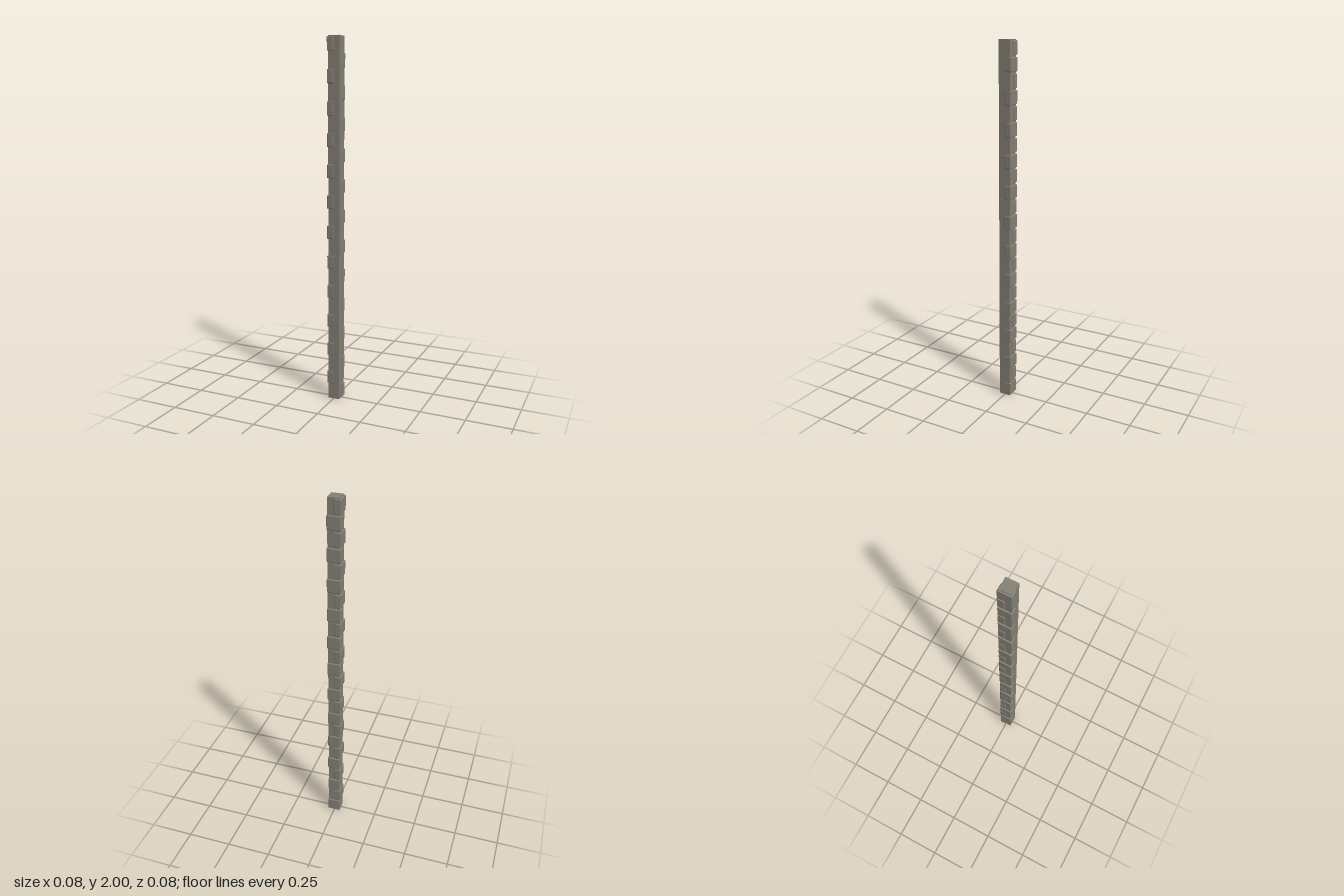
import * as THREE from 'three';
import { RoundedBoxGeometry } from 'three/addons/geometries/RoundedBoxGeometry.js';

export function createModel() {
  const group = new THREE.Group();
  const stone = new THREE.MeshStandardMaterial({ color: 0x858175, flatShading: true });

  // Adds a box given by its minimum and maximum corners, chamfered if asked
  function addBlock(name, min, max, chamfer = 0) {
    const size = max.map((v, i) => v - min[i]);
    const geometry = chamfer
      ? new RoundedBoxGeometry(...size, 1, chamfer)
      : new THREE.BoxGeometry(...size);
    const mesh = new THREE.Mesh(geometry, stone);
    mesh.name = name;
    mesh.position.set(...min.map((v, i) => (v + max[i]) / 2));
    group.add(mesh);
  }

  // Square post
  addBlock('post', [-0.031, 0, -0.031], [0.034, 2, 0.034]);

  // Corner stones, alternately long across the back and along the side
  const courses = 24;
  const pitch = 2 / courses;
  const height = 0.073;
  for (let i = 0; i < courses; i++) {
    const y0 = (i + 0.5) * pitch - height / 2;
    const y1 = y0 + height;
    if (i % 2 === 0) {
      addBlock('backCornerStone', [-0.036, y0, -0.038], [0.037, y1, 0], 0.003);
    } else {
      addBlock('sideCornerStone', [-0.038, y0, -0.036], [0, y1, 0.037], 0.003);
    }
  }
  return group;
}
